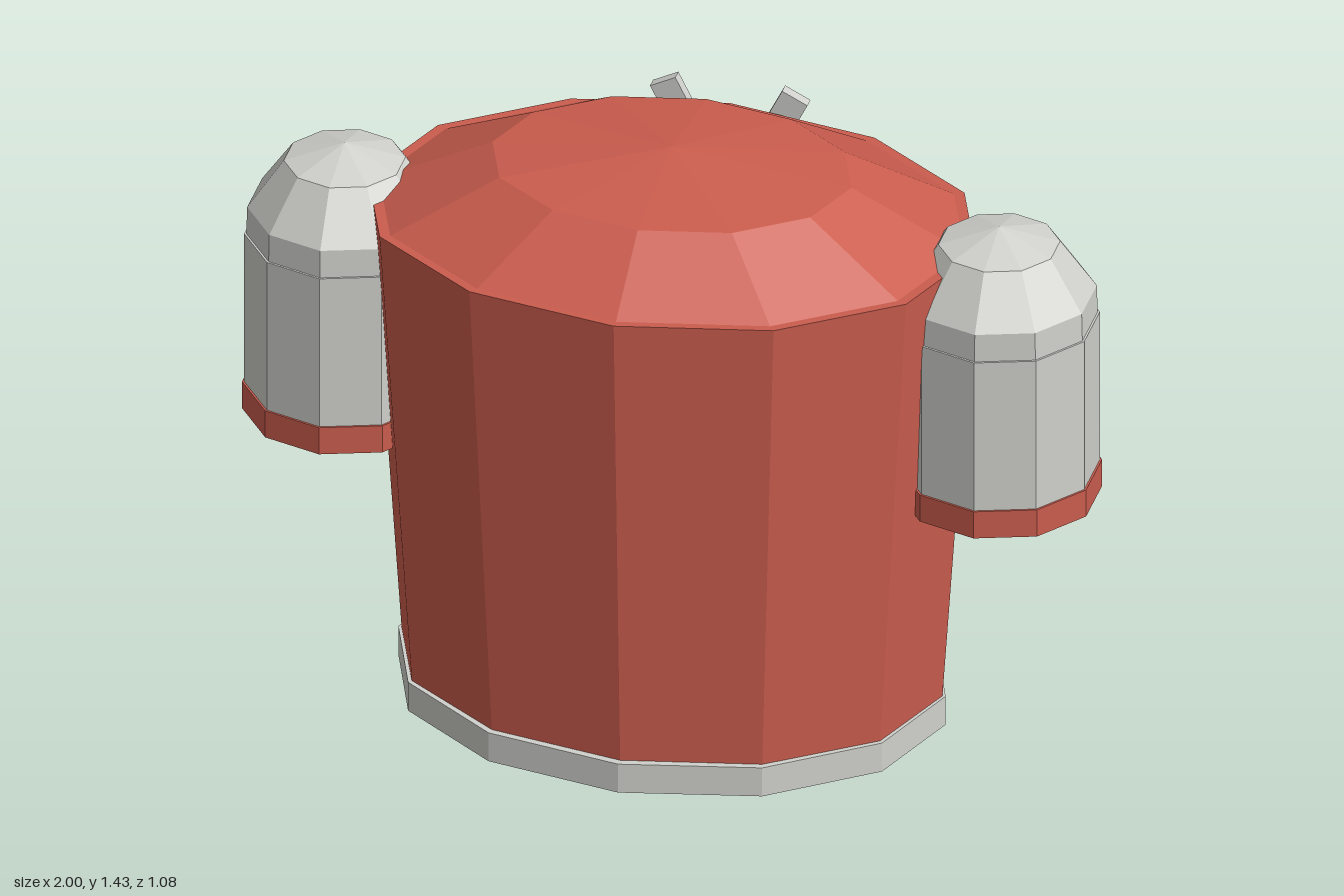
import * as THREE from 'three';

const red = new THREE.MeshStandardMaterial({ name: 'brickRed', color: 0xcb5d4e, flatShading: true });
const grey = new THREE.MeshStandardMaterial({ name: 'lightGrey', color: 0xd0d0cc, flatShading: true });

// Faceted solid of revolution from [radius, height] pairs, bottom to top
function turned(name, profile, sides, material) {
  const points = profile.map(([r, y]) => new THREE.Vector2(r, y));
  const mesh = new THREE.Mesh(new THREE.LatheGeometry(points, sides), material);
  mesh.name = name;
  return mesh;
}

function box(name, w, h, d, x, y, z) {
  const mesh = new THREE.Mesh(new THREE.BoxGeometry(w, h, d), grey);
  mesh.name = name;
  mesh.position.set(x, y, z);
  return mesh;
}

export function createModel() {
  const model = new THREE.Group();
  model.name = 'model';
  const centreZ = 0.006;

  // Oval, twelve-sided torso: tapered wall, shallow dome and waist band
  const ovals = [
    [turned('torso', [[0, 0.01], [0.636, 0.01], [0.72, 1.253], [0, 1.253]], 12, red), 0.74],
    [turned('dome', [[0.7, 1.25], [0.425, 1.385], [0, 1.433]], 12, red), 0.738],
    [turned('waistBand', [[0, 0], [0.648, 0], [0.648, 0.075], [0, 0.075]], 12, grey), 0.76],
  ];
  for (const [mesh, depth] of ovals) {
    mesh.scale.z = depth;
    mesh.position.z = centreZ;
    model.add(mesh);
  }

  for (const side of [1, -1]) {
    // Ten-sided shoulder pod with red cuff and domed cap
    const shoulder = new THREE.Group();
    shoulder.name = side > 0 ? 'leftShoulder' : 'rightShoulder';
    shoulder.add(
      turned('cuff', [[0, 0.64], [0.236, 0.64], [0.236, 0.71], [0, 0.71]], 10, red),
      turned('sleeve', [[0.231, 0.7], [0.231, 1.1], [0, 1.1]], 10, grey),
      turned('cap', [[0.226, 1.095], [0.224, 1.17], [0.14, 1.29], [0, 1.333]], 10, grey),
    );
    shoulder.position.set(side * 0.775, 0, centreZ);
    model.add(shoulder);

    // One arm of the V-shaped plate on the back
    const bar = box(side > 0 ? 'leftBackBar' : 'rightBackBar', 0.067, 0.27, 0.028, side * 0.096, 1.175, -0.526);
    bar.rotation.z = -side * 0.464;
    model.add(bar);
  }

  // Small square plate low on the back
  model.add(box('backPlate', 0.14, 0.14, 0.03, 0.285, 0.85, -0.463));

  return model;
}
